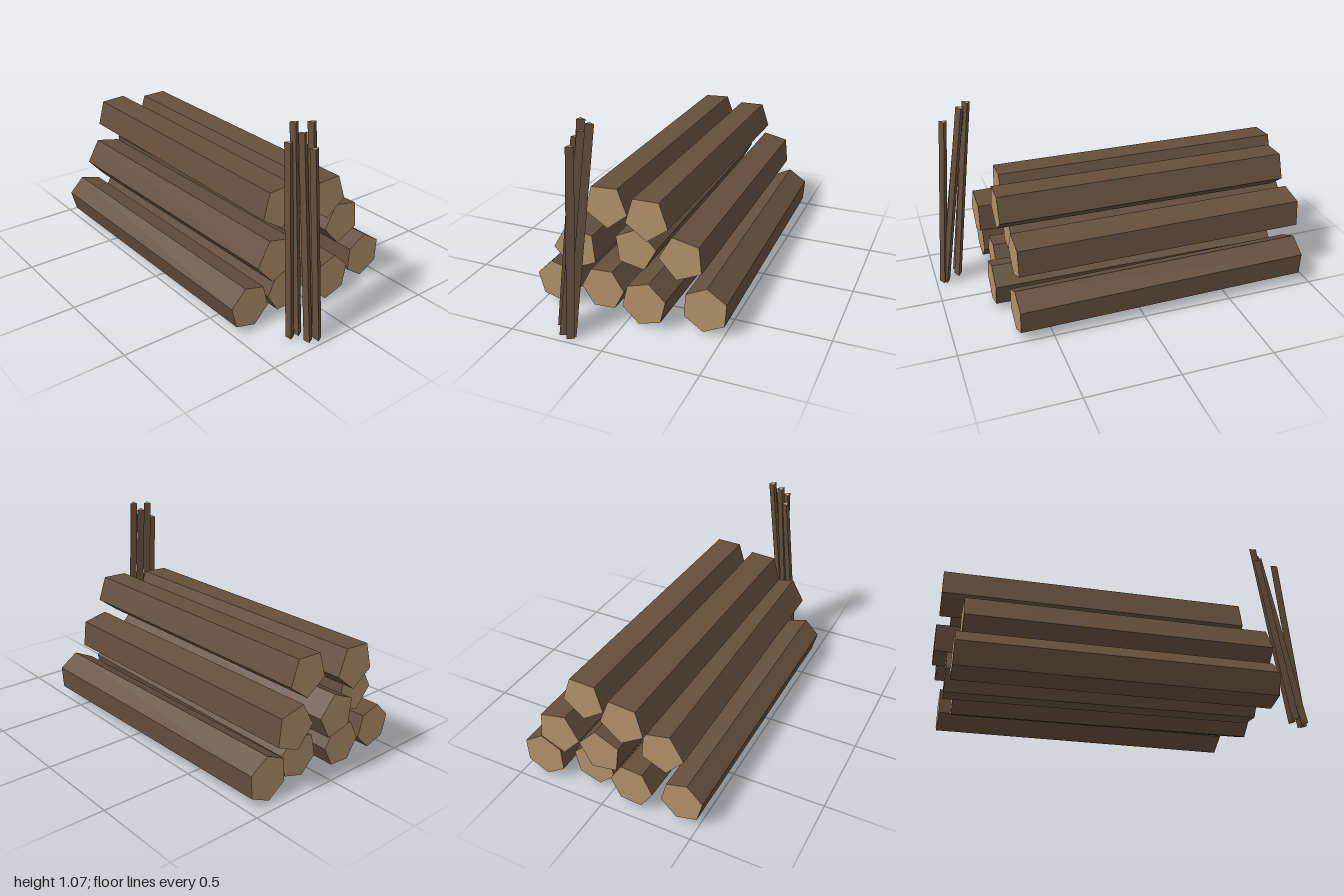
import * as THREE from 'three';

const bark = new THREE.MeshStandardMaterial({ color: 0x654f3b });
bark.name = 'bark';
const cutWood = new THREE.MeshStandardMaterial({ color: 0xb0916a });
cutWood.name = 'cutWood';

const LOG_LENGTH = 1.615;

// Faceted prism along +y with bark sides and cut-wood ends
function prism(radius, length, sides, startAngle) {
  return new THREE.CylinderGeometry(radius, radius, length, sides, 1, false, startAngle);
}

// Places a prism between two points; axis is the direction the geometry runs along
function span(name, geometry, axis, from, to) {
  const flat = geometry.toNonIndexed();
  flat.computeVertexNormals();
  const mesh = new THREE.Mesh(flat, [bark, cutWood, cutWood]);
  mesh.name = name;
  const direction = to.clone().sub(from).normalize();
  mesh.quaternion.setFromUnitVectors(axis, direction);
  mesh.position.copy(from).add(to).multiplyScalar(0.5);
  return mesh;
}

// Each log: left end x, y, z, radius, sides, roll in degrees, drift of the far end in y and z
const LOGS = [
  // bottom row
  [0.70, 0.134, 0.402, 0.117, 6, 45, -0.002, 0.008],
  [0.68, 0.134, 0.152, 0.119, 6, 3, -0.002, -0.012],
  [0.735, 0.131, -0.101, 0.122, 6, 17, -0.002, -0.01],
  [0.675, 0.131, -0.402, 0.123, 6, 26, 0, 0.027],
  // middle row
  [0.735, 0.372, 0.265, 0.123, 5, 42, -0.005, 0.017],
  [0.615, 0.358, -0.001, 0.118, 5, 7, 0, 0.017],
  [0.64, 0.366, -0.263, 0.122, 5, 42, -0.006, 0.019],
  // top row
  [0.625, 0.574, 0.149, 0.122, 5, 57, 0.004, -0.008],
  [0.69, 0.576, -0.101, 0.119, 5, 55, 0.003, -0.013],
];

// Each pole: base x, z, then top x, y, z
const POLES = [
  [0.87, 0.24, 0.745, 1.065, 0.195],
  [0.945, 0.19, 0.79, 1.065, 0.126],
  [0.96, 0.19, 0.875, 0.975, 0.187],
  [0.945, 0.237, 0.785, 1.02, 0.175],
  [0.87, 0.288, 0.75, 0.975, 0.228],
];

export function createModel() {
  const model = new THREE.Group();
  model.name = 'woodpile';

  // Stacked logs lying along x
  const logStack = new THREE.Group();
  logStack.name = 'logStack';
  const xAxis = new THREE.Vector3(1, 0, 0);
  LOGS.forEach(([x, y, z, radius, sides, roll, dy, dz], i) => {
    const geometry = prism(radius, LOG_LENGTH, sides, THREE.MathUtils.degToRad(roll) + Math.PI);
    geometry.rotateZ(-Math.PI / 2);
    const near = new THREE.Vector3(x, y, z);
    const far = new THREE.Vector3(x - LOG_LENGTH, y + dy, z + dz);
    logStack.add(span(`log${i + 1}`, geometry, xAxis, far, near));
  });
  model.add(logStack);

  // Thin three-sided poles leaning against the pile
  const poleBundle = new THREE.Group();
  poleBundle.name = 'leaningPoles';
  const yAxis = new THREE.Vector3(0, 1, 0);
  POLES.forEach(([bx, bz, tx, ty, tz], i) => {
    const base = new THREE.Vector3(bx, 0.004, bz);
    const top = new THREE.Vector3(tx, ty, tz);
    const geometry = prism(0.024, base.distanceTo(top), 3, Math.PI);
    poleBundle.add(span(`pole${i + 1}`, geometry, yAxis, base, top));
  });
  model.add(poleBundle);

  return model;
}
